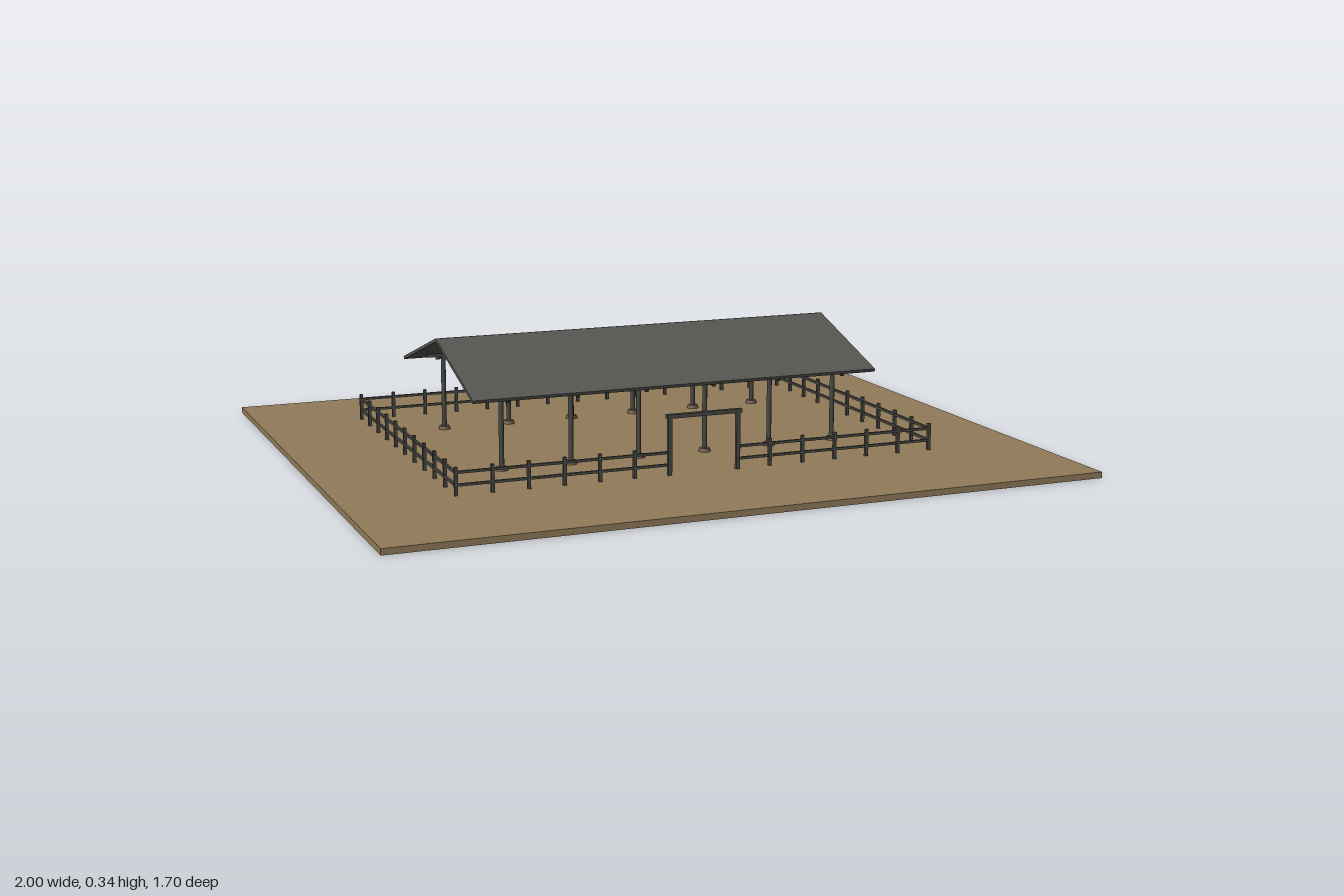
import * as THREE from 'three';

const mat = (name, color, side = THREE.FrontSide) => {
  const m = new THREE.MeshStandardMaterial({ color, side });
  m.name = name;
  return m;
};

export function createModel() {
  const root = new THREE.Group();
  root.name = 'openPavilion';
  const earth = mat('earth', 0x917b5a);
  const roofing = mat('roofing', 0x555651);
  const timber = mat('timber', 0x474843);
  const footing = mat('footing', 0x6b5a45);

  const group = (name) => {
    const g = new THREE.Group();
    g.name = name;
    root.add(g);
    return g;
  };
  const box = (parent, name, material, size, pos, rx = 0) => {
    const m = new THREE.Mesh(new THREE.BoxGeometry(...size), material);
    m.name = name;
    m.position.set(...pos);
    m.rotation.x = rx;
    parent.add(m);
    return m;
  };

  const G = 0.017; // ground level
  const RZ = -0.05; // ridge line
  box(root, 'ground', earth, [2, G, 1.7], [0, G / 2, 0]);

  // Roof: two sloping slabs and a ridge pole
  const roof = group('roof');
  const run = 0.345, eaveY = 0.226, ridgeY = 0.336;
  const slope = Math.atan2(ridgeY - eaveY, run);
  const length = Math.hypot(run, ridgeY - eaveY);
  for (const s of [1, -1]) {
    box(roof, 'roofSlab', roofing, [1.2, 0.009, length],
      [0, (eaveY + ridgeY) / 2, RZ + s * run / 2], s * slope);
  }
  box(roof, 'ridgePole', timber, [1.19, 0.014, 0.01], [0, 0.331, RZ]);

  // Frames: columns on footings, tie beam, king post and rafters
  const columnGeo = new THREE.CylinderGeometry(0.007, 0.007, 0.245 - G, 10);
  const footGeo = new THREE.CylinderGeometry(0.015, 0.018, 0.01, 10);
  const frames = group('frames');
  for (let i = 0; i < 6; i++) {
    const x = -0.5 + i * 0.2;
    for (const s of [1, -1]) {
      const z = RZ + s * 0.275;
      const column = new THREE.Mesh(columnGeo, timber);
      column.name = 'column';
      column.position.set(x, (0.245 + G) / 2, z);
      const foot = new THREE.Mesh(footGeo, footing);
      foot.name = 'footing';
      foot.position.set(x, G + 0.005, z);
      frames.add(column, foot);
      box(frames, 'rafter', timber, [0.01, 0.01, length * 0.96],
        [x, (eaveY + ridgeY) / 2 - 0.009, RZ + s * run / 2], s * slope);
    }
    box(frames, 'tieBeam', timber, [0.01, 0.01, 0.55], [x, 0.239, RZ]);
    box(frames, 'kingPost', timber, [0.01, 0.088, 0.01], [x, 0.284, RZ]);
  }
  for (const s of [1, -1]) {
    box(frames, 'wallPlate', timber, [1.1, 0.01, 0.01], [0, 0.24, RZ + s * 0.275]);
  }

  // Fence: posts about every 0.1, two rails, gap at the front for the gate
  const fence = group('fence');
  const FX = 0.695, FZ = 0.495, H = 0.093;
  const post = (x, z) =>
    box(fence, 'fencePost', timber, [0.009, H - G, 0.009], [x, (H + G) / 2, z]);
  for (let i = 0; i <= 14; i++) {
    const x = -FX + (i * 2 * FX) / 14;
    post(x, RZ - FZ);
    if (Math.abs(x) > 0.12) post(x, RZ + FZ);
  }
  for (let i = 1; i < 10; i++) {
    const z = RZ - FZ + (i * 2 * FZ) / 10;
    for (const s of [1, -1]) post(s * FX, z);
  }
  for (const y of [0.045, 0.079]) {
    box(fence, 'backRail', timber, [2 * FX, 0.007, 0.007], [0, y, RZ - FZ]);
    for (const s of [1, -1]) {
      box(fence, 'sideRail', timber, [0.007, 0.007, 2 * FZ], [s * FX, y, RZ]);
      box(fence, 'frontRail', timber, [FX - 0.1, 0.007, 0.007],
        [s * (FX + 0.1) / 2, y, RZ + FZ]);
    }
  }

  // Entrance gate
  const gate = group('gate');
  for (const s of [1, -1]) {
    box(gate, 'gatePost', timber, [0.011, 0.18 - G, 0.011], [s * 0.1, (0.18 + G) / 2, 0.449]);
  }
  box(gate, 'gateBeam', timber, [0.22, 0.011, 0.014], [0, 0.179, 0.449]);

  return root;
}
